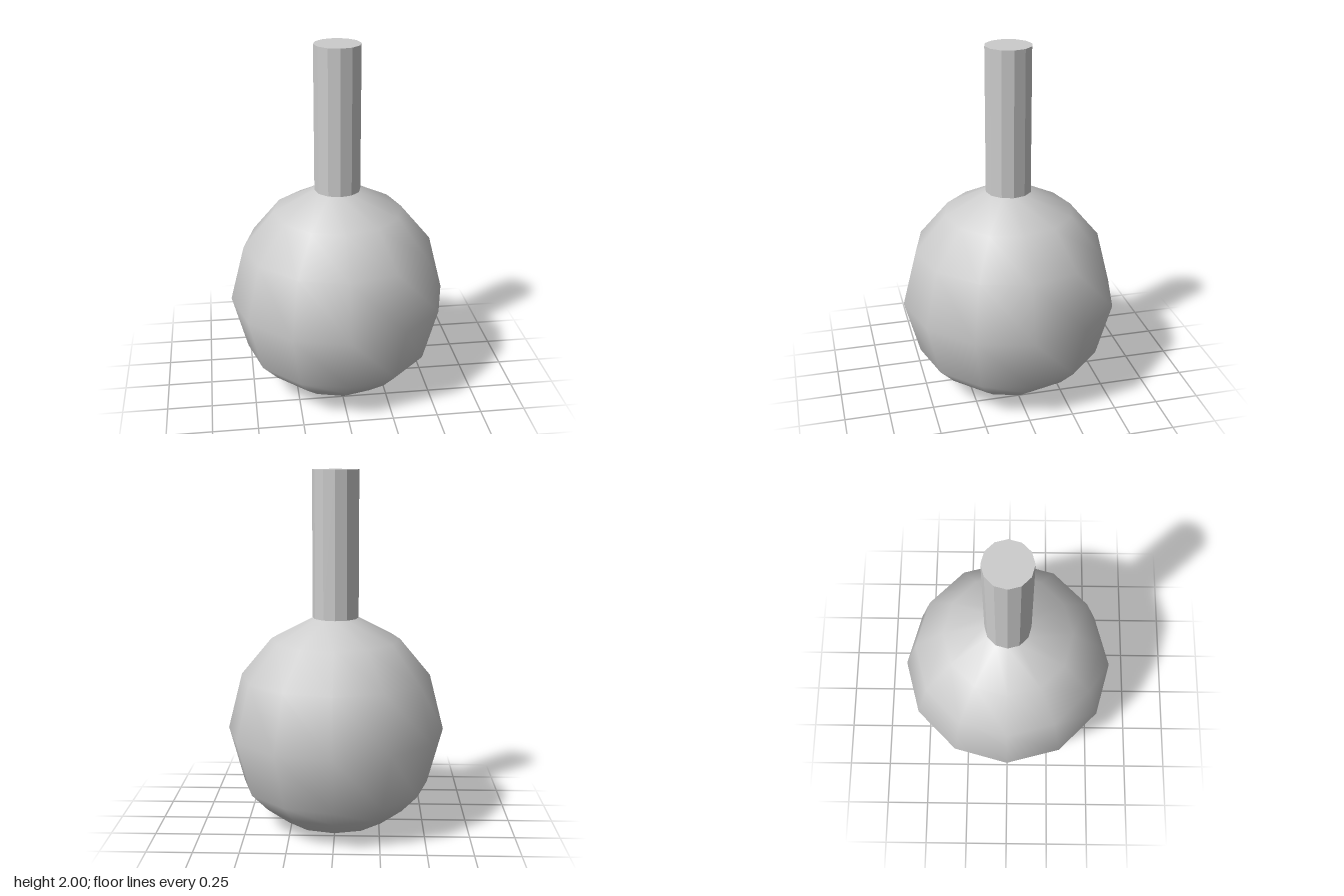
import * as THREE from 'three';

const SIDES = 12;

export function createModel() {
  const model = new THREE.Group();
  model.name = 'roundFlask';

  // Round body: smooth-shaded, slightly flattened at the base
  const profile = [
    [0, 0], [0.13, 0.005], [0.3, 0.035], [0.43, 0.135], [0.525, 0.235],
    [0.61, 0.55], [0.53, 0.865], [0.36, 1.07], [0.128, 1.19],
  ].map(([r, y]) => new THREE.Vector2(r, y));
  const body = new THREE.Mesh(
    new THREE.LatheGeometry(profile, SIDES),
    new THREE.MeshStandardMaterial({ color: 0xcccccc })
  );
  body.name = 'body';

  // Faceted neck, closed at the top
  const bottom = 1.19, top = 2;
  const neck = new THREE.Mesh(
    new THREE.CylinderGeometry(0.128, 0.128, top - bottom, SIDES),
    new THREE.MeshStandardMaterial({ color: 0xcccccc, flatShading: true })
  );
  neck.position.y = (top + bottom) / 2;
  neck.name = 'neck';

  model.add(body, neck);
  return model;
}
